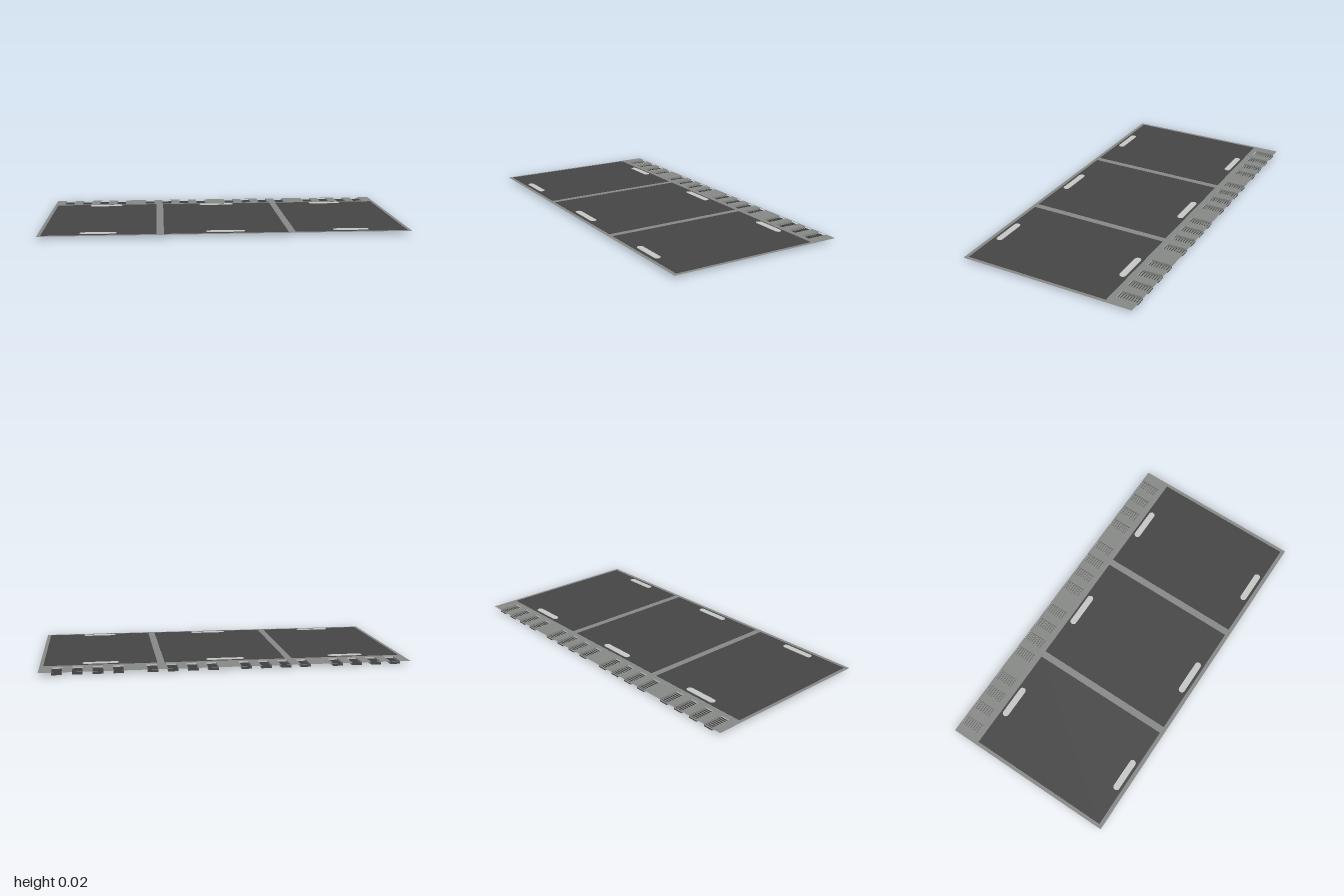
import * as THREE from 'three';

const grey = new THREE.MeshStandardMaterial({ color: 0x868886, side: THREE.DoubleSide });
grey.name = 'sheetGrey';
const dark = new THREE.MeshStandardMaterial({ color: 0x454545, side: THREE.DoubleSide });
dark.name = 'panelDark';
const pale = new THREE.MeshStandardMaterial({ color: 0xc3c6c3 });
pale.name = 'clipPale';

const TOP = 0.015;               // height of the sheet
const BACK = -0.493, FRONT = -0.377; // ends of the recessed channels
const CHANNEL = 0.055;           // channel width

function add(parent, name, geometry, material, x = 0, y = 0, z = 0) {
  const mesh = new THREE.Mesh(geometry, material);
  mesh.name = name;
  mesh.position.set(x, y, z);
  parent.add(mesh);
  return mesh;
}

function rectangle(Type, x0, x1, z0, z1) {
  const path = new Type();
  path.moveTo(x0, -z1);
  path.lineTo(x1, -z1);
  path.lineTo(x1, -z0);
  path.lineTo(x0, -z0);
  path.closePath();
  return path;
}

// Flat slot-shaped plate with rounded ends, lying in the ground plane
function slotPlate(length, width, thickness) {
  const r = width / 2, h = length / 2 - r;
  const shape = new THREE.Shape();
  shape.moveTo(-h, -r);
  shape.lineTo(h, -r);
  shape.absarc(h, 0, r, -Math.PI / 2, Math.PI / 2, false);
  shape.lineTo(-h, r);
  shape.absarc(-h, 0, r, Math.PI / 2, Math.PI * 1.5, false);
  return new THREE.ExtrudeGeometry(shape, { depth: thickness, bevelEnabled: false, curveSegments: 6 })
    .rotateX(-Math.PI / 2).translate(0, -thickness / 2, 0);
}

export function createModel() {
  const model = new THREE.Group();
  model.name = 'panelSheet';

  // Four groups of four channels along the back edge
  const channels = [];
  for (const start of [-0.915, -0.415, 0.085, 0.585])
    for (let i = 0; i < 4; i++) channels.push(start + i * 0.107);

  // Backing sheet, open above each channel
  const outline = rectangle(THREE.Shape, -1, 1, -0.497, 0.497);
  for (const x of channels)
    outline.holes.push(rectangle(THREE.Path, x - CHANNEL / 2, x + CHANNEL / 2, BACK, FRONT));
  add(model, 'backingSheet', new THREE.ShapeGeometry(outline).rotateX(-Math.PI / 2), grey, 0, TOP, 0);

  // Channels: floor, two side walls and low upright ribs, open at both ends
  const depth = FRONT - BACK, mid = (FRONT + BACK) / 2, ribs = 9;
  const floor = new THREE.PlaneGeometry(CHANNEL, depth).rotateX(-Math.PI / 2);
  const wall = new THREE.PlaneGeometry(depth, TOP).rotateY(Math.PI / 2);
  const rib = new THREE.PlaneGeometry(CHANNEL, 0.006);
  for (const x of channels) {
    const channel = new THREE.Group();
    channel.name = 'channel';
    channel.position.set(x, 0, mid);
    add(channel, 'channelFloor', floor, grey);
    for (const s of [-1, 1])
      add(channel, 'channelWall', wall, grey, s * CHANNEL / 2, TOP / 2, 0);
    for (let i = 0; i < ribs; i++)
      add(channel, 'channelRib', rib, dark, 0, 0.003, (i / (ribs - 1) - 0.5) * depth);
    model.add(channel);
  }

  // Three dark panels, each with a pale clip at both ends
  for (const [x0, x1, clipX, clipLength] of [
    [-0.98, -0.373, -0.682, 0.195], [-0.333, 0.333, -0.003, 0.21], [0.373, 0.98, 0.677, 0.195],
  ]) {
    add(model, 'panel', new THREE.BoxGeometry(x1 - x0, 0.004, 0.82), dark, (x0 + x1) / 2, TOP, 0.065);
    for (const z of [-0.315, 0.442])
      add(model, 'clip', slotPlate(clipLength, 0.036, 0.008), pale, clipX, TOP, z);
  }
  return model;
}
